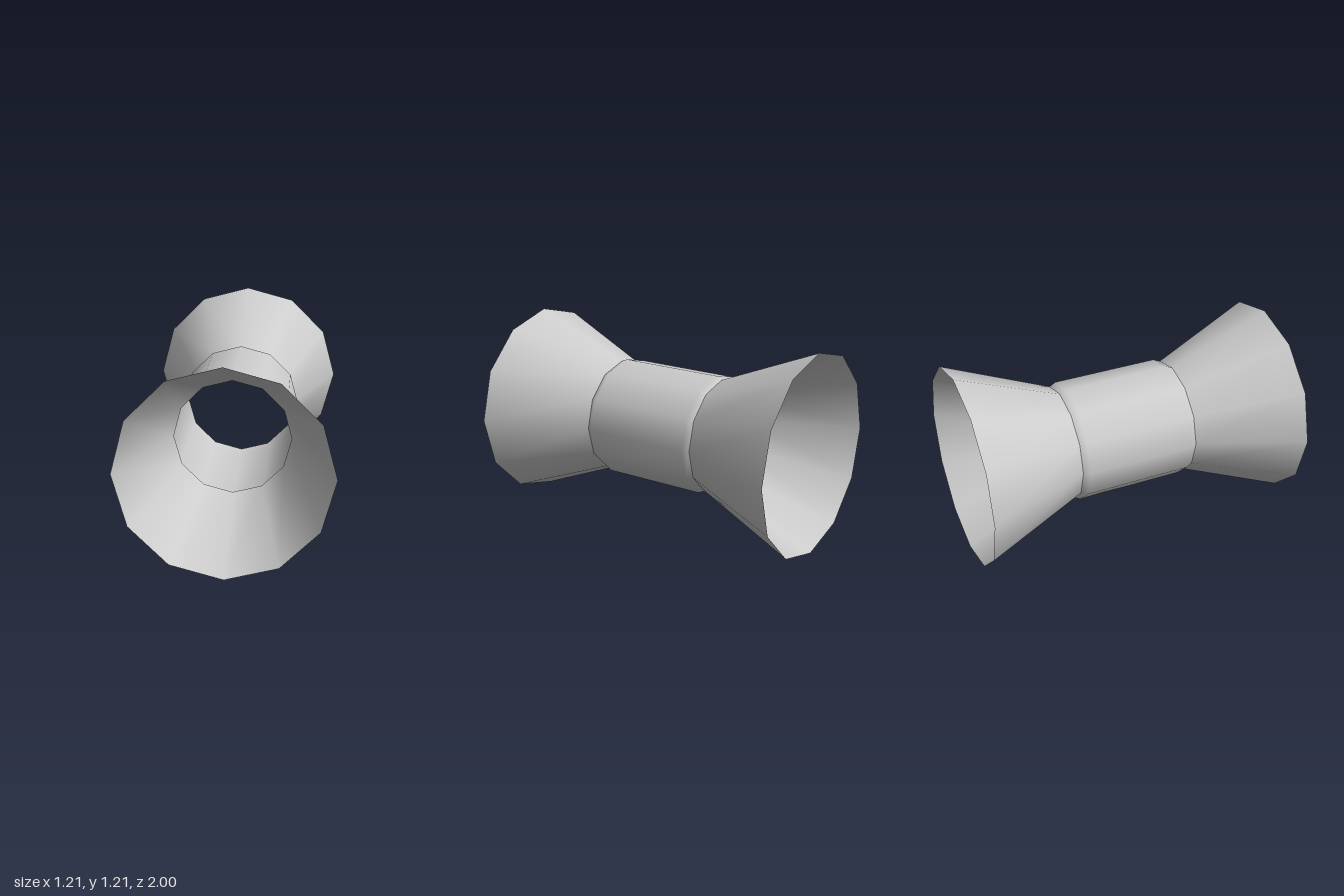
import * as THREE from 'three';

const SIDES = 12;
const CENTRE_Y = 0.61;

export function createModel() {
  const group = new THREE.Group();
  group.name = 'doubleFlaredTube';
  const grey = new THREE.MeshStandardMaterial({ color: 0xcccccc, side: THREE.DoubleSide });
  grey.name = 'light grey';

  // Open twelve-sided shell around the z axis; profile is [radius, z] with z rising
  function addShell(name, profile) {
    const points = profile.map(([r, z]) => new THREE.Vector2(r, z));
    const geometry = new THREE.LatheGeometry(points, SIDES).rotateX(Math.PI / 2);
    const mesh = new THREE.Mesh(geometry, grey);
    mesh.name = name;
    mesh.position.y = CENTRE_Y;
    group.add(mesh);
  }

  // Middle barrel with chamfered rims
  addShell('barrel', [[0.348, -0.37], [0.367, -0.33], [0.367, 0.33], [0.348, 0.37]]);

  // Flared horns at both ends
  addShell('frontHorn', [[0.348, 0.37], [0.607, 1]]);
  addShell('backHorn', [[0.607, -1], [0.348, -0.37]]);

  return group;
}
